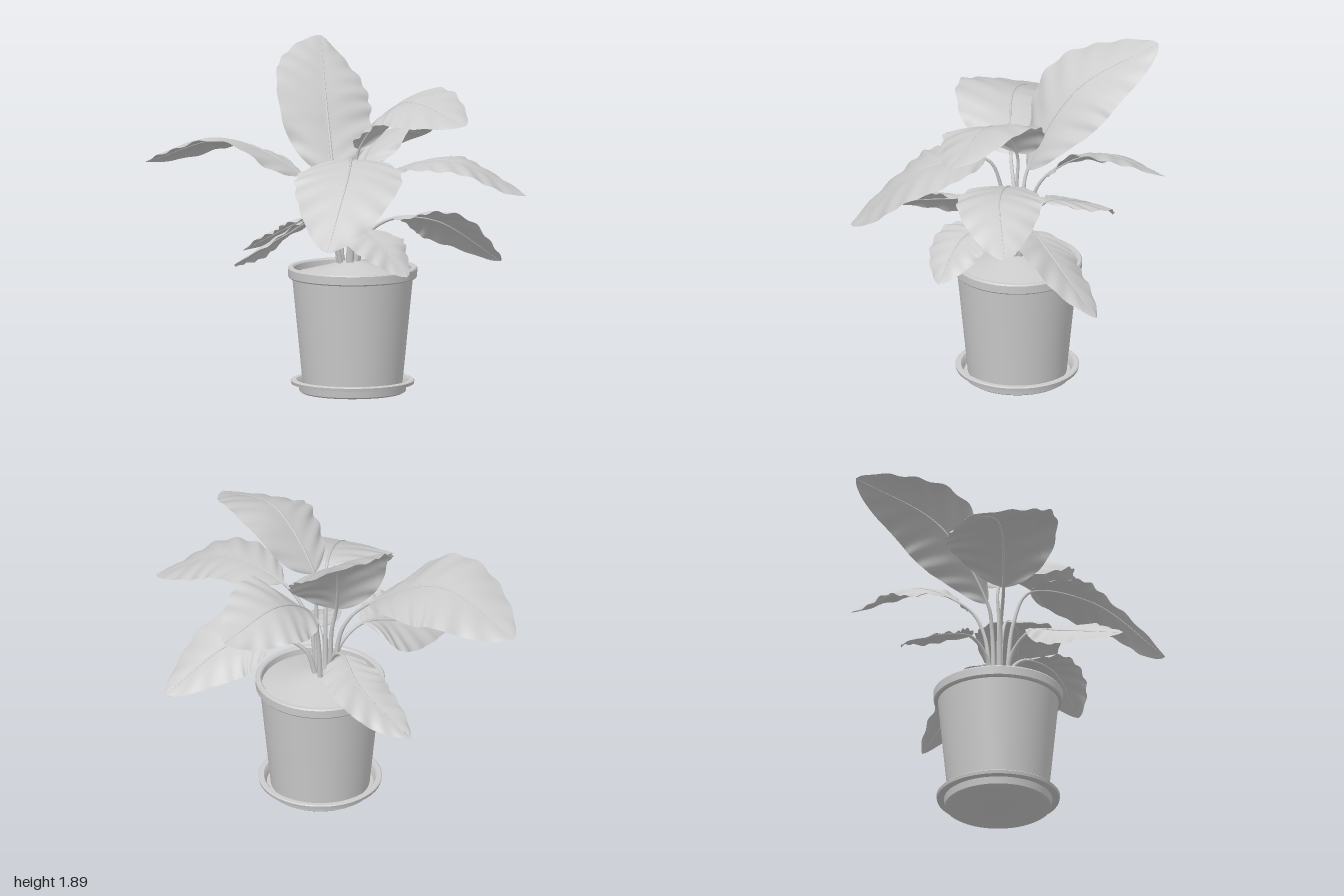
import * as THREE from 'three';
import { toCreasedNormals } from 'three/addons/utils/BufferGeometryUtils.js';

const material = new THREE.MeshStandardMaterial({ color: 0xcccccc });
const thin = new THREE.MeshStandardMaterial({ color: 0xcccccc, side: THREE.DoubleSide });
const UP = new THREE.Vector3(0, 1, 0);
const POT_X = 0.097, POT_Z = -0.015;
const CROWN = new THREE.Vector3(0.075, 0.7, 0);

// Name, then where the blade begins, its middle and its tip, its half width and its roll
const LEAVES = [
  ['tallBackLeaf', [-0.03, 1.2, -0.01], [-0.24, 1.64, -0.2], [-0.55, 1.89, -0.56], 0.29, 0.35],
  ['tallLeftLeaf', [0.13, 1.37, -0.03], [0.45, 1.66, -0.03], [0.89, 1.57, -0.02], 0.285, 0.28],
  ['upperLeftLeaf', [0.32, 1.25, -0.09], [0.66, 1.33, -0.21], [1, 1.14, -0.43], 0.24, 0],
  ['upperFrontLeaf', [0.2, 1.33, 0.13], [0.4, 1.28, 0.42], [0.55, 0.92, 0.8], 0.3, 0],
  ['upperRightLeaf', [-0.13, 1.22, 0.15], [-0.5, 1.41, 0.34], [-1, 1.25, 0.45], 0.315, 0.2],
  ['upperBackLeaf', [0.03, 1.23, -0.17], [-0.03, 1.4, -0.47], [-0.05, 1.34, -0.88], 0.255, -0.42],
  ['lowerBackLeaf', [0.24, 0.97, -0.19], [0.4, 0.95, -0.38], [0.56, 0.69, -0.77], 0.225, -0.4],
  ['lowerFrontLeaf', [0.02, 0.99, 0.23], [-0.01, 0.93, 0.47], [-0.05, 0.81, 0.87], 0.2, 0.6],
  ['lowerRightLeaf', [-0.13, 0.97, -0.06], [-0.38, 0.9, -0.15], [-0.74, 0.71, -0.1], 0.18, 0],
  ['lowerLeftLeaf', [0.22, 0.93, 0.09], [0.4, 0.91, 0.17], [0.64, 0.72, 0.19], 0.19, 0],
];

// Stem and midrib in one curve: it rises from the crown, leaning out towards the blade
function leafCurve(base, middle, tip) {
  const [b, m, t] = [base, middle, tip].map(p => new THREE.Vector3(...p));
  const outward = b.clone().sub(CROWN).setY(0).normalize();
  const root = CROWN.clone().addScaledVector(outward, 0.045);
  const bend = root.clone().lerp(b, 0.3).setY(THREE.MathUtils.lerp(root.y, b.y, 0.68));
  return new THREE.CatmullRomCurve3([root, bend, b, m, t]);
}

// Pointed oval surface swept along the outer half of the curve, with rippled side veins
function bladeGeometry(curve, half, tilt, phase) {
  const rows = 56, cols = 16, start = 0.5, positions = [], index = [];
  const heading = curve.getPoint(1).sub(curve.getPoint(start)).setY(0).normalize();
  const level = new THREE.Vector3().crossVectors(UP, heading);
  for (let i = 0; i <= rows; i++) {
    const t = i / rows, u = start + (1 - start) * t;
    const p = curve.getPoint(u), tangent = curve.getTangent(u);
    const side = level.clone().addScaledVector(tangent, -level.dot(tangent)).normalize()
      .applyAxisAngle(tangent, tilt * Math.min(1, t * 3));
    const normal = new THREE.Vector3().crossVectors(tangent, side).normalize();
    const width = half * Math.pow(Math.max(0, Math.sin(Math.PI * Math.pow(t, 0.9))), 0.7);
    const fade = Math.min(1, width / half * 1.3);
    for (let j = 0; j <= cols; j++) {
      const s = (j / cols) * 2 - 1, e = Math.abs(s);
      const ripple = Math.sin(44 * (t - 0.13 * e) + phase + (s > 0 ? 0.9 : 0));
      const wave = Math.sin(13 * t + phase * 2 + s * 1.5);
      const droop = -0.09 * half * e * e + 0.02 * e * (1 - e);
      const lift = fade * (droop + 0.006 * ripple * e + 0.008 * wave * e * e);
      // edges are scalloped and sweep slightly towards the tip
      const v = p.clone().addScaledVector(side, s * width * (1 + 0.02 * ripple * e * e))
        .addScaledVector(normal, lift)
        .addScaledVector(tangent, 0.12 * width * e * (1 - t));
      positions.push(v.x, v.y, v.z);
      if (i < rows && j < cols) {
        const k = i * (cols + 1) + j, n = k + cols + 1;
        index.push(k, n, k + 1, k + 1, n, n + 1);
      }
    }
  }
  const geometry = new THREE.BufferGeometry();
  geometry.setAttribute('position', new THREE.Float32BufferAttribute(positions, 3));
  geometry.setIndex(index);
  geometry.computeVertexNormals();
  return geometry;
}

// Round stem that thins out into the midrib
function stemGeometry(curve) {
  const rings = 60, radial = 8;
  const geometry = new THREE.TubeGeometry(curve, rings, 0.016, radial);
  const pos = geometry.attributes.position, v = new THREE.Vector3();
  for (let i = 0; i <= rings; i++) {
    const t = i / rings, centre = curve.getPointAt(t);
    const scale = 1 - 0.95 * Math.pow(t, 0.8);
    for (let j = 0; j <= radial; j++) {
      const k = i * (radial + 1) + j;
      v.fromBufferAttribute(pos, k).sub(centre).multiplyScalar(scale).add(centre);
      pos.setXYZ(k, v.x, v.y, v.z);
    }
  }
  return geometry;
}

function leaf([name, base, middle, tip, half, tilt], number) {
  const group = new THREE.Group();
  group.name = name;
  const curve = leafCurve(base, middle, tip);
  const blade = new THREE.Mesh(bladeGeometry(curve, half, tilt, number * 1.7), thin);
  blade.name = 'blade';
  const stem = new THREE.Mesh(stemGeometry(curve), material);
  stem.name = 'stem';
  group.add(blade, stem);
  return group;
}

function turned(name, profile) {
  const points = profile.map(([r, y]) => new THREE.Vector2(r, y));
  const mesh = new THREE.Mesh(toCreasedNormals(new THREE.LatheGeometry(points, 64), 0.6), material);
  mesh.name = name;
  mesh.position.set(POT_X, 0, POT_Z);
  return mesh;
}

export function createModel() {
  const model = new THREE.Group();
  model.name = 'pottedPlant';

  // Saucer with a flat lip
  model.add(turned('saucer', [[0, 0], [0.285, 0], [0.297, 0.008], [0.303, 0.048], [0.342, 0.05],
    [0.346, 0.068], [0.34, 0.073], [0.315, 0.073], [0.305, 0.06], [0.298, 0.025], [0, 0.025]]));

  // Tapered pot with a thick rim
  model.add(turned('pot', [[0, 0.026], [0.27, 0.026], [0.277, 0.034], [0.337, 0.645], [0.354, 0.647],
    [0.36, 0.654], [0.362, 0.7], [0.356, 0.708], [0.335, 0.708], [0.328, 0.7], [0.322, 0.62], [0, 0.62]]));

  // Mounded soil
  model.add(turned('soil', [[0.326, 0.665], [0.26, 0.682], [0.15, 0.71], [0.06, 0.738], [0, 0.744]]));

  LEAVES.forEach((spec, i) => model.add(leaf(spec, i)));
  return model;
}
